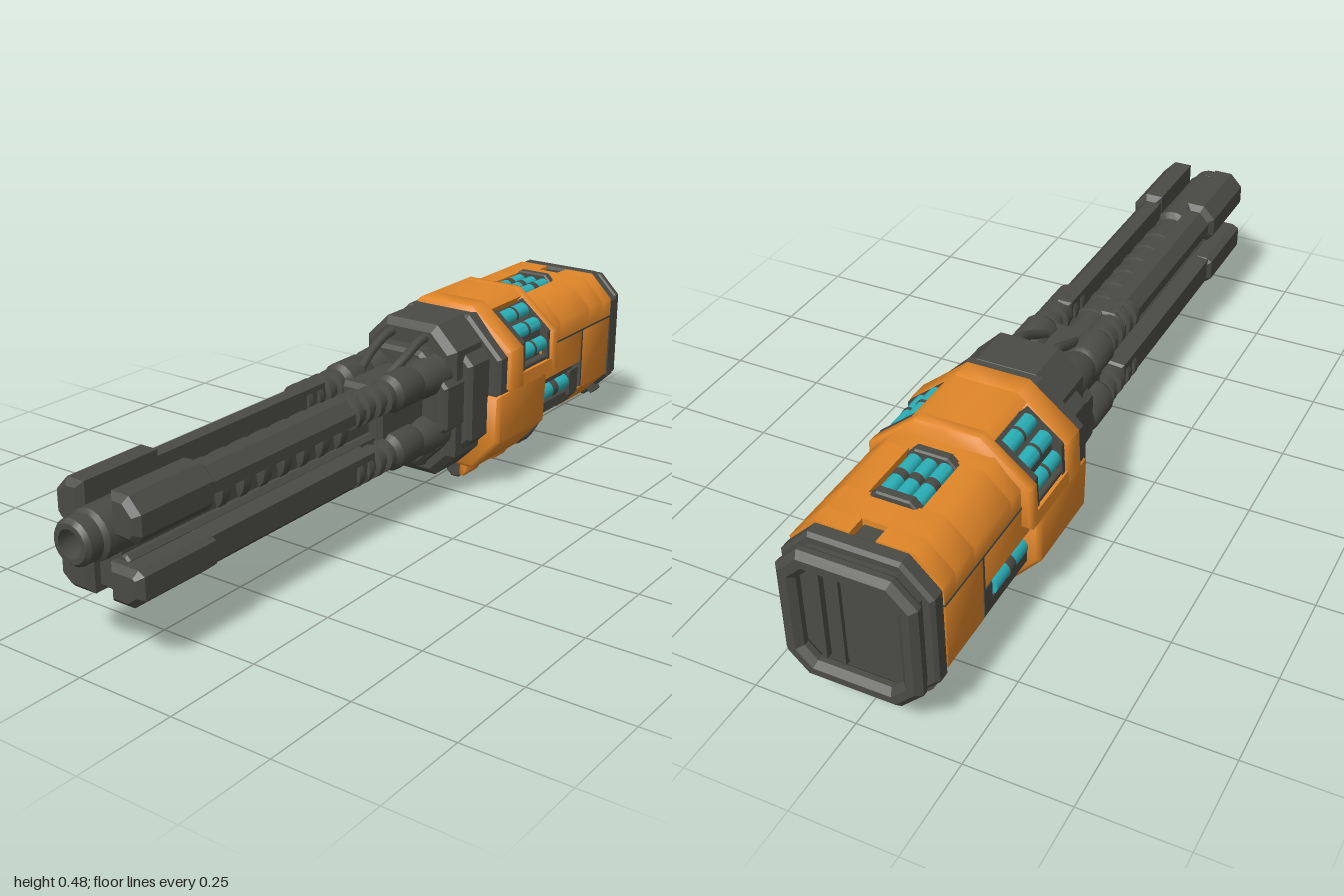
import * as THREE from 'three';
import { toCreasedNormals } from 'three/addons/utils/BufferGeometryUtils.js';

export function createModel() {
  const root = new THREE.Group();
  const mat = (name, color) => Object.assign(new THREE.MeshStandardMaterial({ color }), { name });
  const dark = mat('gunmetal', 0x4a4b45);
  const orange = mat('orange paint', 0xe28729);
  const cyan = mat('cyan coil', 0x2ab0b8);

  const add = (name, geo, m) => {
    const mesh = new THREE.Mesh(geo, m);
    mesh.name = name;
    root.add(mesh);
    return mesh;
  };
  // Cross-section given as [z, y] points, extruded along x with bevelled ends;
  // painted shells get soft chamfers
  const toShape = pts => new THREE.Shape(pts.map(([z, y]) => new THREE.Vector2(-z, y)));
  const prism = (name, pts, x0, x1, m, b = 0, hole = null) => {
    const s = toShape(pts);
    if (hole) s.holes.push(toShape(hole));
    const g = new THREE.ExtrudeGeometry(s, {
      depth: x1 - x0 - 2 * b, bevelEnabled: b > 0, bevelSize: b, bevelThickness: b,
      bevelOffset: -b, bevelSegments: 1,
    });
    g.rotateY(Math.PI / 2).translate(x0 + b, 0, 0);
    return add(name, m === orange ? toCreasedNormals(g, 0.95) : g, m);
  };
  // Chamfered rectangle section
  const oct = (z0, z1, y0, y1, c) => [
    [z0 + c, y0], [z1 - c, y0], [z1, y0 + c], [z1, y1 - c],
    [z1 - c, y1], [z0 + c, y1], [z0, y1 - c], [z0, y0 + c]];
  const flip = pts => pts.map(([z, y]) => [-z, y]);
  // Round part turned about the x direction; points are [radius, x]
  const turned = (name, pts, y, z, m, sides = 16) => {
    const g = new THREE.LatheGeometry(pts.map(([r, x]) => new THREE.Vector2(r, x)), sides);
    g.rotateZ(-Math.PI / 2).translate(0, y, z);
    return add(name, toCreasedNormals(g, 0.6), m);
  };
  const rod = (name, x0, x1, r, y, z, m) =>
    turned(name, [[0, x0], [r, x0], [r, x1], [0, x1]], y, z, m);
  const hose = (name, pts, r) => add(name, new THREE.TubeGeometry(
    new THREE.CatmullRomCurve3(pts.map(p => new THREE.Vector3(...p))), 20, r, 7), dark);
  // Coil: cyan rod with a dark clamp in the middle
  const coil = (x0, x1, r, y, z, clamp) => {
    const mid = (x0 + x1) / 2;
    rod('coil', x0, x1, r, y, z, cyan);
    rod('coilClamp', mid - clamp / 2, mid + clamp / 2, r * 1.08, y, z, dark);
  };

  // Central barrel with hollow muzzle
  turned('barrel', [[0, -0.9], [0.032, -0.9], [0.032, -1], [0.044, -1], [0.052, -0.99], [0.052, -0.957],
    [0.047, -0.953], [0.058, -0.945], [0.06, -0.7], [0.044, -0.69], [0.044, 0.2], [0, 0.2]],
    0.3, 0, dark, 18);
  for (let i = 0; i < 7; i++) {
    const x = -0.62 + i * 0.07;
    turned('barrelRing', [[0.04, x], [0.06, x + 0.006], [0.06, x + 0.032], [0.04, x + 0.038]], 0.29, 0, dark);
  }
  prism('barrelKeel', oct(-0.06, 0.06, 0.16, 0.25, 0.01), -0.9, 0.2, dark, 0.005);
  prism('barrelSpine', oct(-0.04, 0.04, 0.22, 0.3, 0.01), -0.9, 0.2, dark);
  prism('breechBlock', oct(-0.075, 0.075, 0.19, 0.365, 0.03), -0.06, 0.17, dark, 0.012);

  for (const s of [1, -1]) {
    const side = pts => (s > 0 ? pts : flip(pts));
    // Long rails and muzzle blocks
    prism('upperRail', side([[0.04, 0.33], [0.105, 0.325], [0.105, 0.352], [0.078, 0.38], [0.04, 0.38]]), -0.72, -0.12, dark, 0.006);
    prism('lowerRail', side([[0.045, 0.155], [0.085, 0.155], [0.107, 0.175], [0.107, 0.235], [0.045, 0.24]]), -0.72, -0.12, dark, 0.006);
    prism('upperMuzzleBlock', side([[0.038, 0.3], [0.1, 0.295], [0.117, 0.315], [0.117, 0.362], [0.085, 0.396], [0.038, 0.396]]), -0.93, -0.69, dark, 0.014);
    prism('lowerMuzzleBlock', side([[0.025, 0.15], [0.085, 0.15], [0.117, 0.175], [0.117, 0.228], [0.1, 0.238], [0.025, 0.238]]), -0.93, -0.69, dark, 0.014);
    // Connectors and recoil cylinders at the four corners
    for (const [y, top] of [[0.345, 1], [0.195, -1]]) {
      const z = 0.074 * s;
      rod('recoilRod', -0.25, 0.1, 0.028, y, z, dark);
      for (const x of [-0.2, -0.16, -0.115, -0.07])
        turned('connectorRing', [[0.02, x], [0.041, x + 0.005], [0.041, x + 0.024], [0.02, x + 0.029]], y, z, dark);
      turned('recoilCylinder', [[0, -0.045], [0.034, -0.045], [0.048, -0.025], [0.048, 0.06], [0.042, 0.07],
        [0.05, 0.1], [0.055, 0.2], [0, 0.2]], y, z, dark);
      hose('frontHose', [[0.02, y + 0.03 * top, 0.04 * s], [0.08, y + 0.06 * top, 0.05 * s],
        [0.14, y + 0.085 * top, 0.05 * s], [0.2, y + 0.09 * top, 0.05 * s]], 0.012);
    }
    // Dark cheeks of the collar
    prism('collarCheek', side(oct(0.08, 0.16, 0.13, 0.4, 0.035)), 0.21, 0.32, dark, 0.01);
    prism('collarRib', side(oct(0.08, 0.14, 0.2, 0.34, 0.015)), 0.13, 0.22, dark, 0.008);
  }

  // Collar between barrel and body
  prism('collarStep', oct(-0.115, 0.115, 0.11, 0.41, 0.05), 0.12, 0.2, dark, 0.01);
  prism('collar', oct(-0.135, 0.135, 0.066, 0.466, 0.06), 0.165, 0.32, dark, 0.018);
  prism('collarFlange', oct(-0.192, 0.192, 0.075, 0.465, 0.1), 0.295, 0.345, dark, 0.008);
  // Inner core seen through all openings
  prism('bodyCore', oct(-0.15, 0.15, 0.095, 0.42, 0.07), 0.3, 0.93, dark);

  // Upper orange shell with window recesses on both shoulders
  const half = [[0, 0.478], [0.078, 0.478], [0.198, 0.378], [0.202, 0.272], [0, 0.272]];
  const cut = [[0, 0.478], [0.078, 0.478], [0.1, 0.46], [0.085, 0.435], [0.155, 0.36],
    [0.155, 0.306], [0.2, 0.306], [0.202, 0.272], [0, 0.272]];
  const both = h => [...h, ...flip(h).slice(1, -1).reverse()];
  prism('upperShellFront', both(half), 0.33, 0.405, orange, 0.008);
  prism('upperShellMiddle', both(cut), 0.397, 0.548, orange);
  prism('upperShellRear', both(half), 0.54, 0.582, orange, 0.008);
  const lining = [[0.08, 0.43], [0.104, 0.456], [0.192, 0.383], [0.195, 0.306], [0.15, 0.306], [0.15, 0.36]];
  const floor = [[0.08, 0.43], [0.1, 0.448], [0.168, 0.386], [0.174, 0.306], [0.15, 0.306], [0.15, 0.36]];
  for (const s of [1, -1]) {
    const side = pts => (s > 0 ? pts : flip(pts));
    // Dark recess with cyan coils
    for (const x of [0.402, 0.531]) prism('windowLining', side(lining), x, x + 0.014, dark);
    prism('windowFloor', side(floor), 0.404, 0.543, dark);
    prism('windowBase', side(oct(0.14, 0.192, 0.304, 0.318, 0.003)), 0.41, 0.535, dark);
    for (const [z, y] of [[0.113, 0.427], [0.15, 0.394], [0.171, 0.347]])
      coil(0.416, 0.531, 0.0205, y, z * s, 0.008);
    // Lower orange shell halves
    prism('lowerShell', side([[0.05, 0.055], [0.118, 0.055], [0.194, 0.14], [0.198, 0.271], [0.05, 0.271]]), 0.29, 0.53, orange, 0.01);
    // Middle side panel and lower window coils
    prism('sidePanel', side([[0.08, 0.238], [0.176, 0.238], [0.178, 0.328], [0.08, 0.328]]), 0.525, 0.752, orange, 0.004);
    coil(0.548, 0.692, 0.023, 0.192, 0.152 * s, 0.026);
    prism('windowPost', side(oct(0.1, 0.17, 0.13, 0.24, 0.02)), 0.7, 0.755, dark, 0.005);
    prism('windowSill', side(oct(0.08, 0.162, 0.13, 0.166, 0.005)), 0.52, 0.72, dark);
    prism('windowHead', side(oct(0.08, 0.167, 0.217, 0.24, 0.004)), 0.52, 0.72, dark);
    // Feet: orange outer cheeks around dark clamps, joined by a skirt
    for (const [a, b] of [[0.32, 0.392], [0.465, 0.532]]) {
      prism('foot', side([[0.06, 0.012], [0.074, 0.014], [0.084, 0.03], [0.084, 0.09], [0.06, 0.09]]), a, b, orange, 0.004);
      prism('footClamp', side(oct(0.016, 0.066, 0.003, 0.085, 0.014)), a + 0.006, b - 0.006, dark, 0.004);
    }
    prism('footSkirt', side(oct(0.07, 0.082, 0.036, 0.08, 0.003)), 0.385, 0.47, orange);
    prism('cableTray', side(oct(0.005, 0.07, 0.045, 0.11, 0.02)), 0.31, 0.6, dark);
    coil(0.4, 0.457, 0.014, 0.046, 0.046 * s, 0.008);
    for (let i = 0; i < 4; i++) {
      const z = (0.016 + i * 0.016) * s, d = i % 2 * 0.012;
      hose('underHose', [[0.5, 0.06, z], [0.56, 0.045 + d, z], [0.63, 0.0135 + d, z * 1.05],
        [0.7, 0.028 + d, z], [0.735, 0.07, z], [0.725, 0.12, z]], 0.012);
      hose('innerHose', [[0.52, 0.075, z], [0.6, 0.06 + d, z], [0.67, 0.07, z], [0.7, 0.12, z]], 0.013);
    }
    rod('hoseEnd', 0.47, 0.56, 0.026, 0.028, 0.042 * s, dark);
    // Small lug under the end cap
    prism('capLug', side([[0.125, 0.105], [0.138, 0.093], [0.15, 0.105], [0.138, 0.122]]), 0.895, 0.93, dark);
    // Dark seams between the painted panels
    prism('panelSeam', side(oct(0.15, 0.1795, 0.327, 0.333, 0.001)), 0.58, 0.912, dark);
    prism('panelSeam', side(oct(0.15, 0.1785, 0.165, 0.33, 0.001)), 0.749, 0.755, dark);
  }

  // Rear orange body: top cover with coil recess and latch notch
  const cover = [[0, 0.442], [0.115, 0.442], [0.177, 0.38], [0.178, 0.332], [0, 0.332]];
  const notched = (w, y) => both([[0, y], [w, y], [w, 0.442], ...cover.slice(1)]);
  prism('rearCoverFront', both(cover), 0.575, 0.627, orange);
  prism('rearCoverMiddle', notched(0.062, 0.4), 0.627, 0.788, orange);
  prism('rearCoverBack', both(cover), 0.788, 0.865, orange);
  prism('rearCoverLatch', notched(0.03, 0.41), 0.865, 0.912, orange);
  prism('coilBed', oct(-0.062, 0.062, 0.39, 0.424, 0.004), 0.627, 0.788, dark);
  for (const z of [-0.037, 0, 0.037]) coil(0.645, 0.772, 0.0175, 0.43, z, 0.02);
  for (const x of [0.618, 0.772])
    prism('coilGuard', oct(-0.06, 0.06, 0.4, 0.457, 0.02), x, x + 0.026, dark, 0.004);
  prism('latch', oct(-0.029, 0.029, 0.4, 0.428, 0.004), 0.865, 0.912, dark);
  prism('rearLowerShell', [[-0.105, 0.088], [0.105, 0.088], [0.176, 0.16], [0.178, 0.328], [-0.178, 0.328], [-0.176, 0.16]],
    0.752, 0.912, orange, 0.004);

  // End cap with recessed ribbed panel
  prism('capFlange', oct(-0.177, 0.177, 0.08, 0.442, 0.07), 0.908, 0.952, dark, 0.008);
  prism('capGroove', oct(-0.152, 0.152, 0.1, 0.42, 0.05), 0.945, 0.962, dark);
  prism('capRim', oct(-0.163, 0.163, 0.09, 0.428, 0.055), 0.958, 1, dark, 0.014,
    flip(oct(-0.117, 0.117, 0.135, 0.38, 0.03)));
  for (const z of [0.03, 0.075])
    prism('capRib', oct(z - 0.006, z + 0.006, 0.138, 0.376, 0.002), 0.955, 0.978, dark);
  prism('capPanel', oct(-0.108, 0.024, 0.142, 0.372, 0.01), 0.955, 0.968, dark);
  return root;
}
